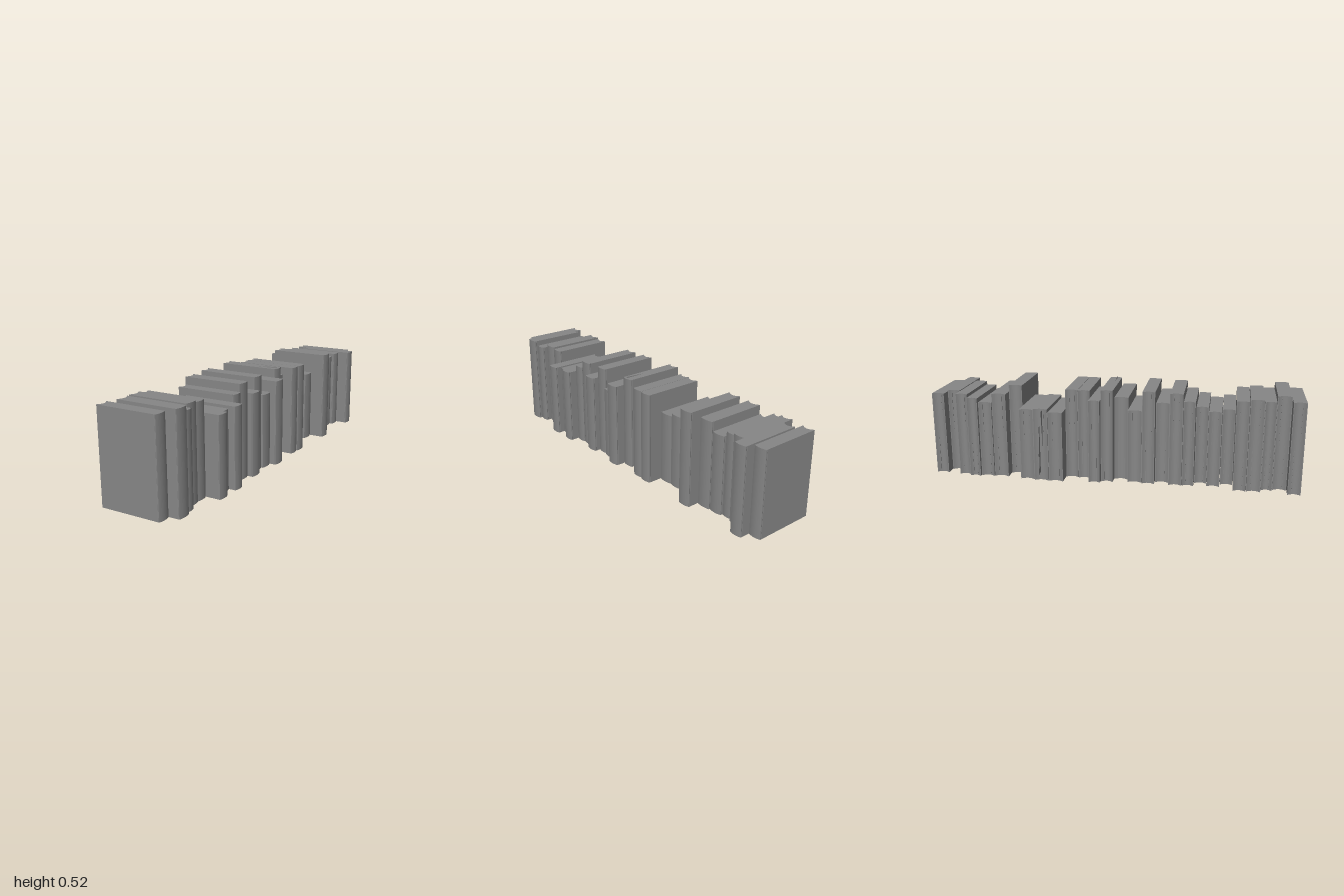
import * as THREE from 'three';

const DEPTH = 0.335; // fore-edge to spine
const HOLLOW = 0.015; // depth of the concave fore-edge
const BULGE = 0.006; // rounding of the spine
const GAP = 0.002; // between neighbouring books

// [fore-edge x, height, thickness], from the front of the row to the back
const BOOKS = [
  [-0.204, 0.493, 0.07], [-0.146, 0.509, 0.075], [-0.163, 0.48, 0.061], [-0.191, 0.495, 0.075],
  [-0.194, 0.485, 0.07], [-0.114, 0.418, 0.069], [-0.151, 0.412, 0.07], [-0.114, 0.426, 0.067],
  [-0.162, 0.463, 0.064], [-0.165, 0.504, 0.072], [-0.135, 0.444, 0.075], [-0.167, 0.509, 0.07],
  [-0.157, 0.402, 0.078], [-0.122, 0.463, 0.077], [-0.172, 0.509, 0.067], [-0.194, 0.456, 0.064],
  [-0.135, 0.495, 0.067], [-0.13, 0.495, 0.07], [-0.209, 0.386, 0.08], [-0.209, 0.402, 0.081],
  [-0.199, 0.394, 0.08], [-0.119, 0.506, 0.075], [-0.181, 0.469, 0.08], [-0.186, 0.42, 0.075],
  [-0.199, 0.444, 0.062], [-0.182, 0.46, 0.067], [-0.117, 0.463, 0.069], [-0.171, 0.456, 0.07],
];

// Sheets sticking out of a book: [book index, x, y, width, height, tilt]
const LOOSE_SHEETS = [
  [14, 0.24, 0.461, 0.18, 0.1, 0.06],
  [19, 0.047, 0.298, 0.1, 0.2, 0.1],
  [19, 0.043, 0.171, 0.1, 0.26, -0.045],
];

export function createModel() {
  const model = new THREE.Group();
  model.name = 'bookRow';
  const material = new THREE.MeshStandardMaterial({ color: 0x878787, flatShading: true });

  // Upright body with a rounded spine at +x and a hollow fore-edge at -x
  function bookBody(height, thickness) {
    const t = thickness / 2;
    const hinge = DEPTH - 0.012;
    const s = new THREE.Shape();
    s.moveTo(0, -t);
    // shallow hinge groove beside the spine on both covers
    s.lineTo(hinge - 0.002, -t);
    s.lineTo(hinge, -t + 0.001);
    s.lineTo(hinge + 0.002, -t);
    s.lineTo(DEPTH - BULGE, -t);
    s.quadraticCurveTo(DEPTH + BULGE, 0, DEPTH - BULGE, t);
    s.lineTo(hinge + 0.002, t);
    s.lineTo(hinge, t - 0.001);
    s.lineTo(hinge - 0.002, t);
    s.lineTo(0, t);
    // cover edges stay square, the page block curves inwards between them
    s.lineTo(0, t - 0.003);
    s.quadraticCurveTo(HOLLOW * 2, 0, 0, -t + 0.003);
    s.closePath();
    const g = new THREE.ExtrudeGeometry(s, { depth: height, bevelEnabled: false, curveSegments: 10 });
    return g.rotateX(-Math.PI / 2);
  }

  function addSheet(book, x, y, z, width, height, tilt) {
    const sheet = new THREE.Mesh(new THREE.BoxGeometry(width, height, 0.001), material);
    sheet.name = 'looseSheet';
    sheet.position.set(x, y, z);
    sheet.rotation.z = tilt;
    book.add(sheet);
  }

  let z = 1;
  BOOKS.forEach(([x, height, thickness], i) => {
    const book = new THREE.Group();
    book.name = `book${i + 1}`;
    book.position.set(x, 0, z - thickness / 2);
    z -= thickness;

    const body = new THREE.Mesh(bookBody(height, thickness - GAP), material);
    body.name = 'bookBody';
    book.add(body);

    // Slightly tilted pages showing as thin wedges in the fore-edge
    for (const side of [-1, 1]) {
      const tilt = 0.025 * Math.sin(i * 2.3 + side);
      addSheet(book, 0.162, height / 2, side * thickness * 0.2, 0.3, height - 0.02, tilt);
    }
    LOOSE_SHEETS.filter(([index]) => index === i).forEach(([, sx, sy, w, h, tilt]) => {
      addSheet(book, sx, sy, Math.sign(tilt) * 0.008, w, h, tilt);
    });
    model.add(book);
  });
  return model;
}
